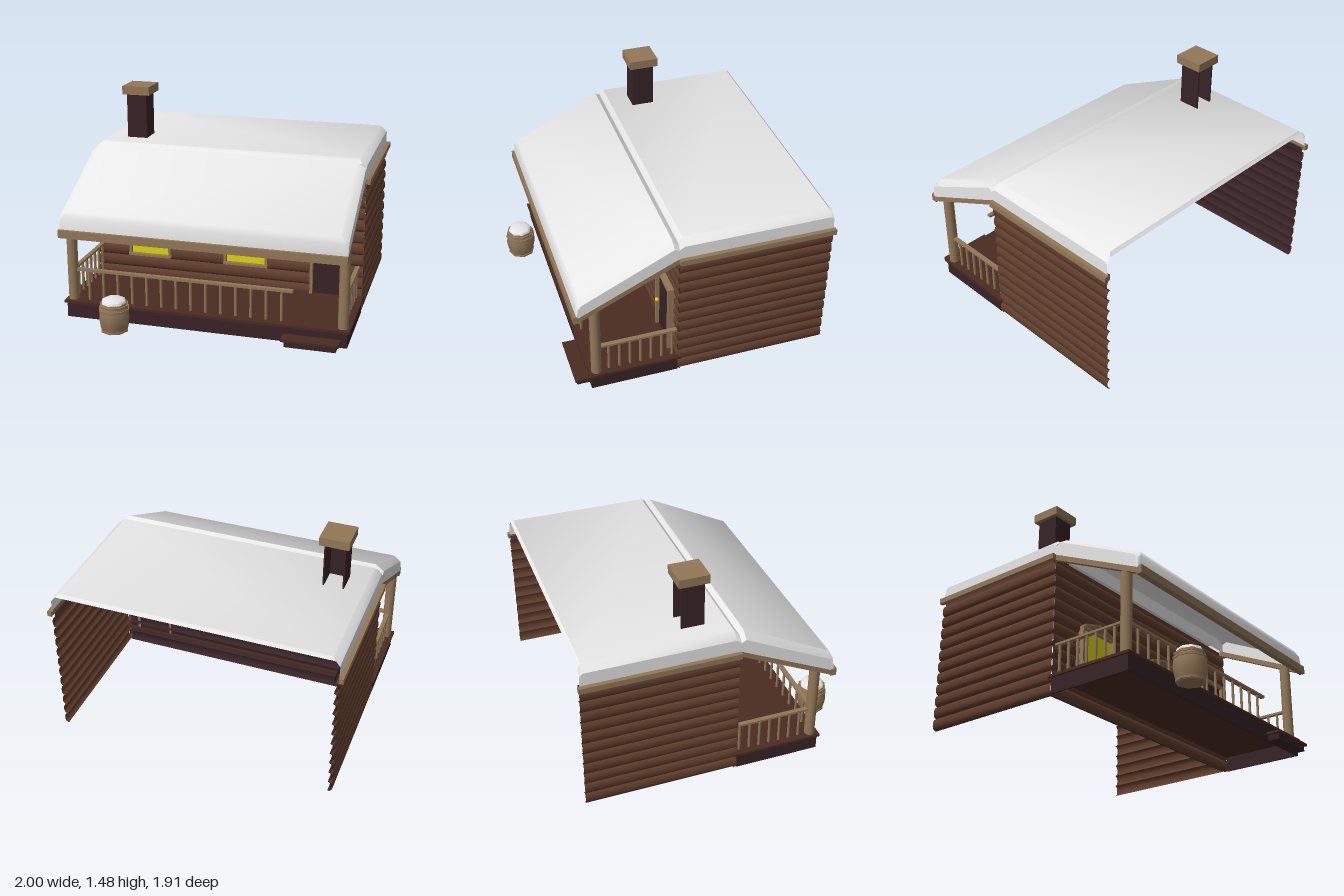
import * as THREE from 'three';
import { toCreasedNormals } from 'three/addons/utils/BufferGeometryUtils.js';

const material = (name, color) => {
  const m = new THREE.MeshStandardMaterial({ color, side: THREE.DoubleSide });
  m.name = name;
  return m;
};

export function createModel() {
  const cabin = new THREE.Group();
  cabin.name = 'snowyCabin';

  const log = material('log brown', 0x5f3d2c);
  const wood = material('tan timber', 0x937858);
  const dark = material('dark wood', 0x382325);
  const plank = material('plank brown', 0x4a2b20);
  const snow = material('snow', 0xeaeaea);
  const yellow = material('window yellow', 0xe0d60a);

  const add = (name, geometry, mat, x = 0, y = 0, z = 0, parent = cabin) => {
    const mesh = new THREE.Mesh(geometry, mat);
    mesh.name = name;
    mesh.position.set(x, y, z);
    parent.add(mesh);
    return mesh;
  };
  // Box given by its minimum and maximum along each axis
  const box = (name, mat, x0, x1, y0, y1, z0, z1, parent) =>
    add(name, new THREE.BoxGeometry(x1 - x0, y1 - y0, z1 - z0), mat,
      (x0 + x1) / 2, (y0 + y1) / 2, (z0 + z1) / 2, parent);

  // Open surface joining rows of points
  const sheet = (rows, crease) => {
    const n = rows[0].length;
    const index = [];
    for (let r = 0; r < rows.length - 1; r++) {
      for (let i = 0; i < n - 1; i++) {
        const a = r * n + i, b = a + n;
        index.push(a, b, a + 1, a + 1, b, b + 1);
      }
    }
    const geo = new THREE.BufferGeometry();
    geo.setAttribute('position', new THREE.Float32BufferAttribute(rows.flat(2), 3));
    geo.setIndex(index);
    return toCreasedNormals(geo, crease);
  };

  // Log walls: a stack of rounded courses
  const courses = 11, courseHeight = 0.0837;
  const bulges = [[0, 0], [0.016, 0.1], [0.024, 0.3], [0.024, 0.65], [0.016, 0.9]];
  const profile = [];
  for (let i = 0; i < courses; i++) {
    for (const [out, t] of bulges) profile.push([out, (i + t) * courseHeight]);
  }
  profile.push([0, courses * courseHeight], [0, 0.96]);
  const logWall = (place, from, to) =>
    sheet([from, to].map(s => profile.map(([out, y]) => place(out, y, s))), 0.8);

  add('leftLogWall', logWall((o, y, s) => [0.95 + o, y, s], -0.95, 0.1), log);
  add('rightLogWall', logWall((o, y, s) => [-0.95 - o, y, s], -0.95, 0.1), log);
  add('frontLogWall', logWall((o, y, s) => [s, y, 0.08 + o], -0.97, 0.97), log);
  add('rightWallLining', logWall((o, y, s) => [-0.942 - o, y, s], -0.95, 0.09), dark);
  add('frontWallLining', logWall((o, y, s) => [s, y, 0.072 + o], -0.945, 0.945), dark);

  // Snow: each row is [base z, base y, top z, top y, shoulder half-width]
  const snowShell = (rows) => sheet(rows.map(([bz, by, tz, ty, w]) => {
    const half = [
      [0.97, by, bz],
      [0.97, by + (ty - by) * 0.7, bz + (tz - bz) * 0.7],
      [w, ty, tz],
    ];
    return [...half.map(([x, y, z]) => [-x, y, z]), ...half.reverse()];
  }), 0.75);
  add('mainRoofSnow', snowShell([
    [0.1, 0.96, 0.1, 0.965, 0.95],
    [0.1, 0.96, 0.1, 1.07, 0.94],
    [0.07, 0.96, 0.07, 1.1, 0.92],
    [-0.92, 0.96, -0.92, 1.1, 0.92],
    [-0.95, 0.96, -0.94, 1.08, 0.94],
  ]), snow);
  add('porchRoofSnow', snowShell([
    [0.1, 0.96, 0.1, 1.06, 0.92],
    [0.13, 0.95, 0.135, 1.09, 0.91],
    [0.71, 0.675, 0.75, 0.78, 0.92],
    [0.75, 0.655, 0.77, 0.74, 0.95],
    [0.76, 0.65, 0.775, 0.66, 0.96],
  ]), snow);

  // Roof edge boards
  for (const side of [-1, 1]) {
    box('roofEdgeBoard', wood, side * 0.985 - 0.015, side * 0.985 + 0.015, 0.93, 0.968, -0.96, 0.1);
    const rake = box('porchRakeBoard', wood, side * 0.955 - 0.015, side * 0.955 + 0.015,
      0.773, 0.808, 0.05, 0.805);
    rake.rotation.x = Math.atan2(0.32, 0.67);
  }
  box('porchFascia', wood, -0.97, 0.97, 0.605, 0.66, 0.755, 0.795);

  // Chimney, open at the back
  box('chimneyFront', dark, -0.79, -0.645, 1.05, 1.42, -0.09, -0.08);
  box('chimneyRight', dark, -0.79, -0.78, 1.05, 1.42, -0.235, -0.08);
  box('chimneyLeft', dark, -0.655, -0.645, 1.05, 1.42, -0.235, -0.08);
  box('chimneyCap', wood, -0.815, -0.615, 1.415, 1.475, -0.26, -0.055);

  // Porch deck and step
  box('deckFrontSkirt', dark, -0.97, 0.97, 0, 0.105, 0.685, 0.695);
  for (const side of [-1, 1]) {
    box('deckSideSkirt', dark, side * 0.965 - 0.005, side * 0.965 + 0.005, 0, 0.105, 0.1, 0.69);
  }
  box('deckFloor', plank, -0.985, 0.985, 0.105, 0.123, 0.08, 0.71);
  box('stepBase', dark, 0.57, 0.91, 0, 0.04, 0.69, 0.78);
  box('stepTread', plank, 0.55, 0.93, 0.04, 0.056, 0.69, 0.795);

  // Porch posts
  for (const side of [-1, 1]) {
    add('porchPost', new THREE.CylinderGeometry(0.036, 0.036, 0.55, 12), wood,
      side * 0.935, 0.395, 0.652);
  }

  // Railings
  const baluster = new THREE.CylinderGeometry(0.01, 0.01, 0.215, 6);
  box('frontRail', wood, -0.91, 0.6, 0.33, 0.348, 0.635, 0.665);
  for (let i = 0; i < 14; i++) {
    add('frontBaluster', baluster, wood, -0.82 + i * 0.1035, 0.23, 0.65);
  }
  for (const side of [-1, 1]) {
    box('sideRail', wood, side * 0.935 - 0.015, side * 0.935 + 0.015, 0.328, 0.343, 0.1, 0.63);
    for (let i = 0; i < 7; i++) {
      add('sideBaluster', baluster, wood, side * 0.935, 0.23, 0.13 + i * 0.0725);
    }
  }

  // Windows with low pointed lintels
  for (const cx of [-0.565, 0.145]) {
    const win = new THREE.Group();
    win.name = 'window';
    win.position.x = cx;
    cabin.add(win);
    box('windowPane', yellow, -0.145, 0.145, 0.29, 0.535, 0.108, 0.114, win);
    for (const side of [-1, 1]) {
      box('windowJamb', wood, side * 0.148 - 0.009, side * 0.148 + 0.009, 0.285, 0.545, 0.09, 0.135, win);
      const slope = box('windowLintel', wood, side * 0.07 - 0.075, side * 0.07 + 0.075,
        0.567, 0.582, 0.09, 0.145, win);
      slope.rotation.z = -side * 0.29;
    }
    box('windowHead', wood, -0.157, 0.157, 0.53, 0.547, 0.09, 0.135, win);
    box('windowSill', wood, -0.16, 0.16, 0.277, 0.293, 0.09, 0.145, win);
  }

  // Door
  box('door', dark, 0.625, 0.865, 0.123, 0.62, 0.09, 0.12);
  box('doorJamb', wood, 0.61, 0.63, 0.123, 0.64, 0.09, 0.145);
  box('doorJamb', wood, 0.865, 0.885, 0.123, 0.64, 0.09, 0.145);
  box('doorHead', wood, 0.61, 0.885, 0.615, 0.64, 0.09, 0.145);
  add('doorKnob', new THREE.SphereGeometry(0.015, 8, 6), yellow, 0.662, 0.375, 0.148);

  // Barrel with hoops and a snow cap
  const barrel = new THREE.Group();
  barrel.name = 'barrel';
  barrel.position.set(-0.565, 0, 0.848);
  cabin.add(barrel);
  const lathe = (pts) => toCreasedNormals(
    new THREE.LatheGeometry(pts.map(([r, y]) => new THREE.Vector2(r, y)), 8), 0.9);
  add('barrelBody', lathe([[0, 0.012], [0.085, 0.012], [0.1, 0.06], [0.107, 0.115],
    [0.1, 0.17], [0.085, 0.215], [0, 0.215]]), wood, 0, 0, 0, barrel);
  for (const [r, y] of [[0.095, 0.022], [0.107, 0.168], [0.1, 0.195]]) {
    add('barrelHoop', new THREE.CylinderGeometry(r, r, 0.014, 8), wood, 0, y, 0, barrel);
  }
  add('barrelSnow', lathe([[0.086, 0.212], [0.08, 0.23], [0.06, 0.24], [0, 0.242]]), snow, 0, 0, 0, barrel);

  return cabin;
}
